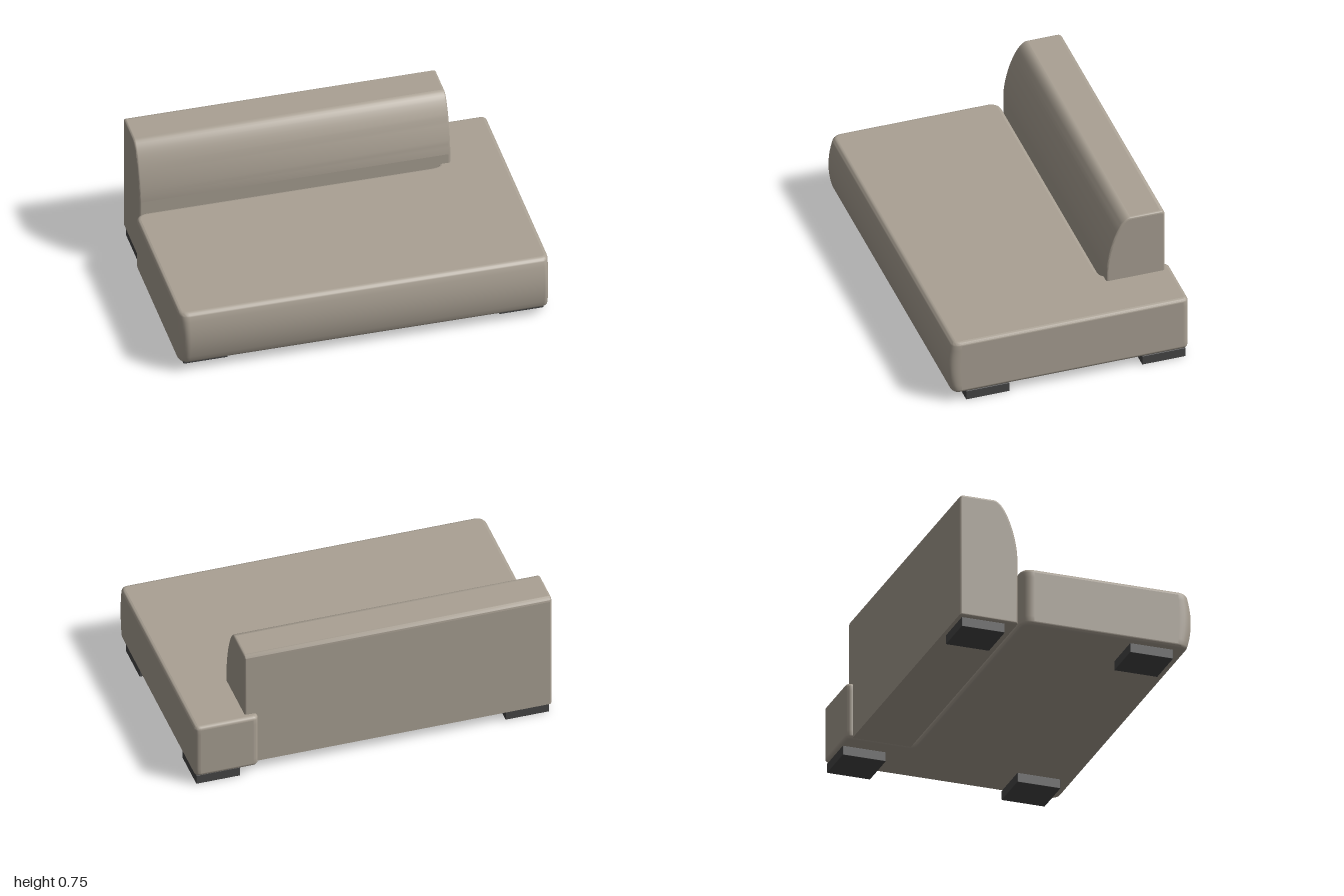
import * as THREE from 'three';
import { toCreasedNormals } from 'three/addons/utils/BufferGeometryUtils.js';
import { RoundedBoxGeometry } from 'three/addons/geometries/RoundedBoxGeometry.js';

// Smooth the rounded edges while keeping the large axis-aligned faces flat
function smooth(geometry) {
  const g = toCreasedNormals(geometry, 0.7);
  const p = g.attributes.position, n = g.attributes.normal;
  const tri = new THREE.Triangle(), face = new THREE.Vector3();
  for (let i = 0; i < p.count; i += 3) {
    tri.setFromAttributeAndIndices(p, i, i + 1, i + 2).getNormal(face);
    if (Math.max(Math.abs(face.x), Math.abs(face.y), Math.abs(face.z)) > 0.9999) {
      for (let k = 0; k < 3; k++) n.setXYZ(i + k, face.x, face.y, face.z);
    }
  }
  return g;
}

// L-shaped seat with a softly domed front edge
function seatGeometry() {
  const b = 0.02, y0 = 0.055, y1 = 0.375;
  const L = -1 + b, R = 1 - b, front = 0.635 - b, inner = -0.29 + b, back = -0.665 + b, ext = 0.65 + b;
  // Shape is drawn in (x, -z), so the extrusion rises along +y after the turn
  const s = new THREE.Shape();
  s.moveTo(L + 0.035, -front);
  s.lineTo(R - 0.02, -front);
  s.quadraticCurveTo(R, -front, R, -front + 0.03);
  s.lineTo(R, -back - 0.012);
  s.quadraticCurveTo(R, -back, R - 0.012, -back);
  s.lineTo(ext + 0.012, -back);
  s.quadraticCurveTo(ext, -back, ext, -back - 0.012);
  s.lineTo(ext, -inner + 0.035);
  s.quadraticCurveTo(ext - 0.005, -inner, ext - 0.08, -inner);
  s.lineTo(L + 0.045, -inner);
  s.quadraticCurveTo(L, -inner, L, -inner - 0.045);
  s.lineTo(L, -front + 0.04);
  s.quadraticCurveTo(L, -front, L + 0.035, -front);
  const g = new THREE.ExtrudeGeometry(s, {
    depth: y1 - y0 - 2 * b, steps: 10, curveSegments: 8,
    bevelEnabled: true, bevelThickness: b, bevelSize: b, bevelSegments: 4,
  });
  g.rotateX(-Math.PI / 2).translate(0, y0 + b, 0);
  const p = g.attributes.position;
  for (let i = 0; i < p.count; i++) {
    const z = p.getZ(i);
    if (z < 0.55) continue;
    const t = (p.getY(i) - (y0 + y1) / 2) / ((y1 - y0) / 2);
    const w = Math.min(1, (z - 0.55) / 0.085);
    p.setZ(i, z + 0.028 * w * (1 - t * t));
  }
  return smooth(g);
}

// Backrest: side profile with a curved leaning face, extruded along x
function backrestGeometry() {
  const b = 0.012, x0 = -0.97, x1 = 0.717;
  const s = new THREE.Shape(); // drawn in (-z, y)
  s.moveTo(0.63 - b, 0.06 + b);
  s.lineTo(0.63 - b, 0.73);
  s.quadraticCurveTo(0.63 - b, 0.755 - b, 0.605, 0.755 - b);
  s.lineTo(0.44, 0.755 - b);
  s.bezierCurveTo(0.385, 0.745, 0.318, 0.56, 0.305 + b, 0.43);
  s.lineTo(0.305 + b, 0.06 + b);
  s.closePath();
  const g = new THREE.ExtrudeGeometry(s, {
    depth: x1 - x0 - 2 * b, curveSegments: 20,
    bevelEnabled: true, bevelThickness: b, bevelSize: b, bevelSegments: 4,
  });
  g.rotateY(Math.PI / 2).translate(x0 + b, 0, 0);
  return smooth(g);
}

export function createModel() {
  const fabric = new THREE.MeshStandardMaterial({ color: 0xaaa194 });
  fabric.name = 'warm grey fabric';
  const dark = new THREE.MeshStandardMaterial({ color: 0x474747 });
  dark.name = 'dark grey feet';

  const sofa = new THREE.Group();
  sofa.name = 'sofa';
  const add = (name, geometry, material, x = 0, y = 0, z = 0) => {
    const mesh = new THREE.Mesh(geometry, material);
    mesh.name = name;
    mesh.position.set(x, y, z);
    sofa.add(mesh);
  };

  add('seat', seatGeometry(), fabric);
  add('backrest', backrestGeometry(), fabric);

  // Low square feet
  const foot = new RoundedBoxGeometry(0.24, 0.054, 0.24, 2, 0.003);
  add('frontLeftFoot', foot, dark, 0.87, 0.027, 0.443);
  add('frontRightFoot', foot, dark, -0.84, 0.027, 0.443);
  add('backLeftFoot', foot, dark, 0.87, 0.027, -0.53);
  add('backRightFoot', foot, dark, -0.84, 0.027, -0.495);
  return sofa;
}
